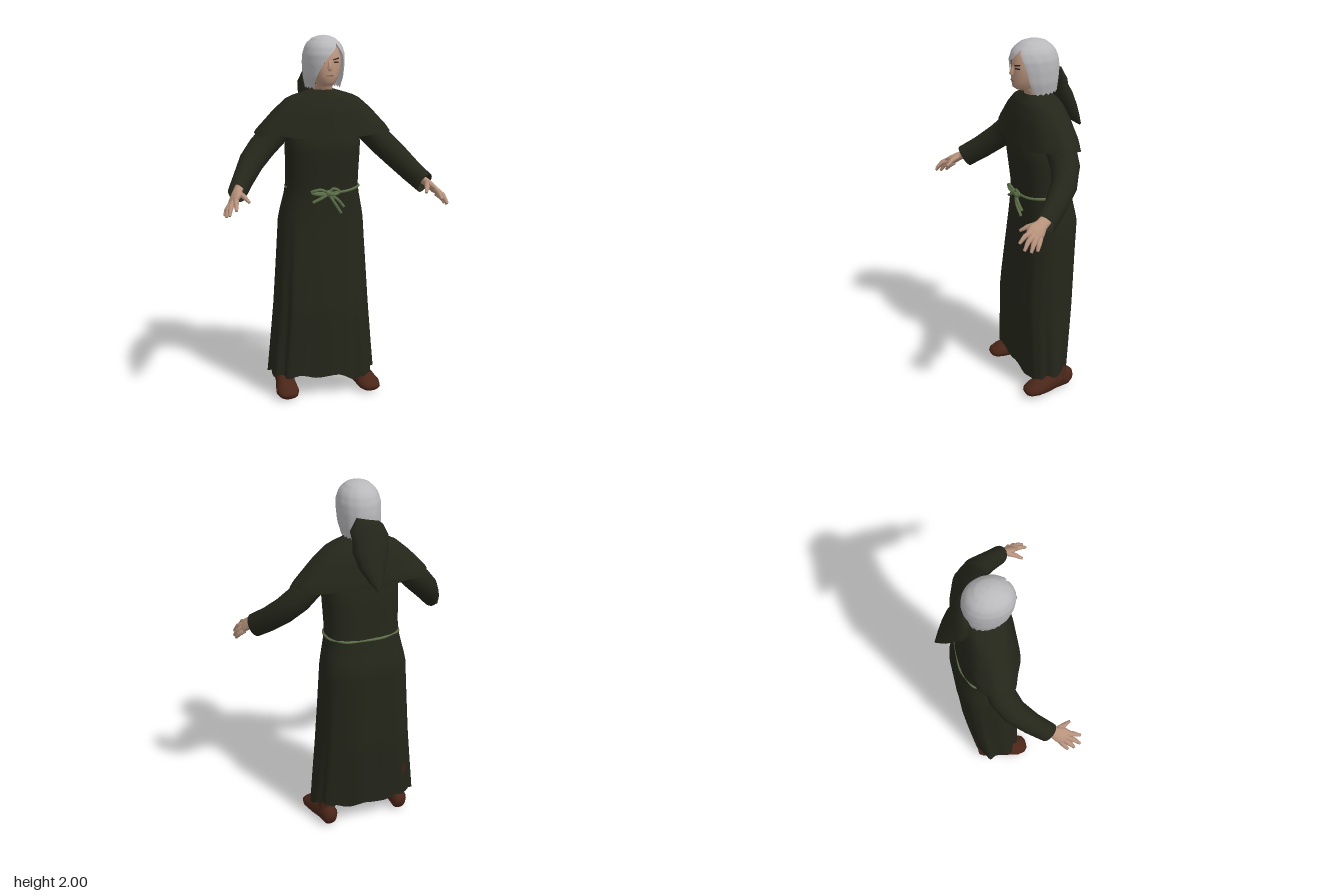
import * as THREE from 'three';

const mat = (name, color, side = THREE.FrontSide) => {
  const m = new THREE.MeshStandardMaterial({ color, side });
  m.name = name;
  return m;
};
const V = (x, y, z) => new THREE.Vector3(x, y, z);
const TAU = Math.PI * 2;

// Skin a surface over rings of points; rings run counter-clockwise about the direction of travel.
function skin(rings, { closed = true, caps = false } = {}) {
  const n = rings[0].length, pos = [], idx = [];
  rings.forEach(r => r.forEach(p => pos.push(p.x, p.y, p.z)));
  for (let j = 0; j < rings.length - 1; j++) {
    for (let i = 0; i < (closed ? n : n - 1); i++) {
      const a = j * n + i, b = j * n + (i + 1) % n;
      idx.push(a, b, b + n, a, b + n, a + n);
    }
  }
  if (caps) {
    [0, rings.length - 1].forEach((j, end) => {
      const c = rings[j].reduce((s, p) => s.add(p), V(0, 0, 0)).divideScalar(n);
      const k = pos.length / 3;
      pos.push(c.x, c.y, c.z);
      for (let i = 0; i < n; i++) {
        const a = j * n + i, b = j * n + (i + 1) % n;
        if (end) idx.push(a, b, k); else idx.push(b, a, k);
      }
    });
  }
  const g = new THREE.BufferGeometry();
  g.setAttribute('position', new THREE.Float32BufferAttribute(pos, 3));
  g.setIndex(idx);
  g.computeVertexNormals();
  return g;
}

// Linear lookup in rows whose first value is the height.
function at(rows, y) {
  let k = 0;
  while (k < rows.length - 2 && y > rows[k + 1][0]) k++;
  const t = THREE.MathUtils.clamp((y - rows[k][0]) / (rows[k + 1][0] - rows[k][0]), 0, 1);
  return rows[k].map((v, i) => v + (rows[k + 1][i] - v) * t);
}
const pw = (v, p) => Math.sign(v) * Math.abs(v) ** (2 / p);
// Point on an upright oval section; angle 0 faces +z, and row = [y, cz, rx, rz].
const oval = (row, y, a, p = 2, k = 1) =>
  V(row[2] * k * pw(Math.sin(a), p), y, row[1] + row[3] * k * pw(Math.cos(a), p));
const angles = n => Array.from({ length: n }, (_, i) => i / n * TAU);

// Tapered limb along points [x, y, z, radiusU, radiusV]; ref orients the V radius.
function limb(pts, ref, n = 12, caps = true) {
  const c = pts.map(p => V(p[0], p[1], p[2]));
  return skin(pts.map((p, i) => {
    const t = c[Math.min(i + 1, c.length - 1)].clone().sub(c[Math.max(i - 1, 0)]).normalize();
    const v = ref.clone().addScaledVector(t, -ref.dot(t)).normalize();
    const u = t.clone().cross(v);
    return angles(n).map(a => c[i].clone().addScaledVector(u, p[3] * Math.sin(a)).addScaledVector(v, p[4] * Math.cos(a)));
  }), { caps });
}
const tube = (pts, r, closed = false, seg = 20) =>
  new THREE.TubeGeometry(new THREE.CatmullRomCurve3(pts, closed), seg, r, 6, closed);

const ROBE = [
  [0.08, -0.045, 0.3, 0.136], [0.5, -0.064, 0.264, 0.165], [1.0, -0.095, 0.237, 0.155],
  [1.15, -0.08, 0.205, 0.138], [1.2, -0.075, 0.2, 0.138], [1.42, -0.055, 0.207, 0.145],
  [1.58, -0.06, 0.17, 0.1], [1.67, -0.06, 0.08, 0.07]];
const CAPE = [
  [1.45, -0.058, 0.395, 0.158], [1.5, -0.062, 0.364, 0.152], [1.6, -0.06, 0.272, 0.13],
  [1.668, -0.06, 0.195, 0.105], [1.692, -0.06, 0.12, 0.085], [1.71, -0.05, 0.06, 0.066]];
const HEAD = [
  [1.64, -0.05, 0.055, 0.06], [1.725, -0.045, 0.052, 0.06], [1.74, -0.01, 0.042, 0.075],
  [1.755, 0, 0.055, 0.083], [1.79, -0.002, 0.073, 0.09], [1.83, -0.006, 0.083, 0.092],
  [1.88, -0.012, 0.088, 0.095], [1.93, -0.03, 0.075, 0.092], [1.97, -0.035, 0.04, 0.05]];
// Hair rows add the opening's two edge angles in degrees.
const HAIR = [
  [1.72, -0.055, 0.093, 0.108, -46, 60], [1.78, -0.046, 0.108, 0.127, -36, 56],
  [1.85, -0.04, 0.113, 0.134, -18, 52], [1.9, -0.036, 0.112, 0.132, 0, 45],
  [1.94, -0.035, 0.1, 0.118, 22, 32], [1.96, -0.035, 0.087, 0.102, 28, 28],
  [1.985, -0.035, 0.06, 0.07, 28, 28], [1.996, -0.035, 0.03, 0.036, 28, 28], [2, -0.035, 0.001, 0.001, 28, 28]];

// Robe surface with folds that deepen toward the hem, and one front pleat.
// The skirt swings a little to the right: fuller at the right back, rounder at the left back.
function robePoint(a, y, k = 1) {
  const f = THREE.MathUtils.clamp((1.1 - y) / 1, 0, 1);
  const d = Math.atan2(Math.sin(a + 0.7), Math.cos(a + 0.7));
  const fold = 1 + f * (0.025 * Math.sin(9 * a + 1.5 * y) + 0.015 * Math.sin(17 * a + 2) - 0.005)
    + 0.05 * Math.min(1, f * 2) * Math.exp(-((d / 0.13) ** 2));
  const p = Math.cos(a) < 0 ? 2.6 - 0.6 * f * Math.sign(Math.sin(a)) : 2.6;
  const point = oval(at(ROBE, y), y, a, p, fold * k);
  point.x -= 0.012 * f;
  return point;
}
// The belt sinks into the cloth beside the pleat and in places round the back.
function beltPoint(a) {
  const s = Math.sin(a), c = Math.cos(a);
  const sink = c > 0 ? (s < -0.35 ? 0.955 : 1.01) : 0.99 + 0.02 * Math.sin(8 * a);
  return robePoint(a, 1.172 - 0.02 * Math.max(0, c) ** 3, sink);
}

export function createModel() {
  const cloth = mat('dark olive cloth', 0x24261a, THREE.DoubleSide);
  const hairMat = mat('silver hair', 0xb9b9bc, THREE.DoubleSide);
  const skinMat = mat('skin', 0xb8937c);
  const leather = mat('brown leather', 0x4a2618);
  const stain = mat('dark red stain', 0x40201a, THREE.DoubleSide);
  const rope = mat('green rope', 0x5d7048);
  const dark = mat('dark features', 0x3a2a22);
  const lip = mat('lips', 0x8a5f50);
  const model = new THREE.Group();
  const add = (name, geo, m, parent = model) => {
    const mesh = new THREE.Mesh(geo, m);
    mesh.name = name;
    parent.add(mesh);
    return mesh;
  };

  // Robe with an uneven hem, lowest at the front left
  const robeRings = [];
  for (let j = 0; j <= 32; j++) {
    robeRings.push(angles(80).map(a => {
      const hem = 0.118 - 0.045 * Math.max(0, Math.cos(a - 0.7)) ** 8 + 0.009 * Math.sin(11 * a);
      return robePoint(a, hem + (1.67 - hem) * j / 32);
    }));
  }
  add('robe', skin(robeRings), cloth);

  // Stained patch low on the right of the back
  const patch = [];
  for (let j = 0; j <= 4; j++) {
    patch.push(Array.from({ length: 6 }, (_, i) =>
      robePoint(-2.4 + (i - 2.5) * 0.04 * (1 - Math.abs(j - 2) * 0.3), 0.25 + j * 0.02, 1.012)));
  }
  add('robeStain', skin(patch, { closed: false }), stain);

  // Shoulder cape, gently rippled at the edge and fuller behind
  const capeRings = [];
  for (let j = 0; j <= 14; j++) {
    capeRings.push(angles(56).map(a => {
      const hem = 1.468 + 0.007 * Math.sin(7 * a + 1) - 0.006 * Math.cos(2 * a);
      const y = hem + (1.71 - hem) * j / 14;
      return oval(at(CAPE, y), y, a, Math.cos(a) < 0 ? 2.2 : 2, 1 + 0.015 * (1 - j / 14) * Math.sin(10 * a));
    }));
  }
  add('shoulderCape', skin(capeRings), cloth);

  // Hood hanging down the back
  add('hood', limb([
    [0, 1.83, -0.165, 0.065, 0.014], [0.01, 1.79, -0.172, 0.092, 0.034], [-0.01, 1.73, -0.18, 0.098, 0.05],
    [0, 1.67, -0.2, 0.098, 0.056], [0.005, 1.6, -0.24, 0.072, 0.046], [0, 1.54, -0.28, 0.042, 0.03],
    [0, 1.49, -0.318, 0.006, 0.006]], V(0, 0, 1), 14), cloth);

  // Head and face
  add('head', skin(HEAD.map(r => angles(28).map(a => oval(r, r[0], a, 2.1))), { caps: true }), skinMat);
  add('nose', limb([
    [0, 1.878, 0.075, 0.008, 0.006], [0, 1.845, 0.086, 0.01, 0.01],
    [0, 1.828, 0.092, 0.015, 0.012], [0, 1.818, 0.086, 0.009, 0.007]], V(0, 0, 1), 10), skinMat);
  for (const s of [1, -1]) {
    const eye = add('eye', new THREE.BoxGeometry(0.028, 0.008, 0.006), dark);
    eye.position.set(s * 0.038, 1.86, 0.0745);
    eye.rotation.y = s * 0.45;
    const brow = add('eyebrow', new THREE.BoxGeometry(0.038, 0.006, 0.008), dark);
    brow.position.set(s * 0.038, 1.878, 0.0745);
    brow.rotation.set(0, s * 0.45, s * 0.18);
  }
  add('mouth', new THREE.BoxGeometry(0.042, 0.007, 0.009), lip).position.set(0, 1.79, 0.084);

  // Bobbed hair swept over one eye
  const hairRings = [];
  for (let j = 0; j <= 32; j++) {
    const y = 1.72 + 0.28 * Math.sin(j / 32 * Math.PI / 2);
    const r = at(HAIR, y), a0 = r[5] * TAU / 360, a1 = (r[4] + 360) * TAU / 360;
    hairRings.push(Array.from({ length: 57 }, (_, i) => {
      const a = a0 + (a1 - a0) * i / 56;
      const drop = j === 0 ? 0.006 * Math.sin(i * 1.9) : 0;
      return oval(r, y + drop, a, 2.1, 1 + 0.006 * Math.sin(i * 1.35));
    }));
  }
  add('hair', skin(hairRings, { closed: false }), hairMat);

  // Rope belt with bow and hanging ends
  const belt = new THREE.Group();
  belt.name = 'ropeBelt';
  model.add(belt);
  add('beltLoop', tube(angles(48).map(beltPoint), 0.0075, true, 120), rope, belt);
  add('beltKnot', new THREE.SphereGeometry(0.019, 10, 8), rope, belt).position.set(0, 1.152, 0.07);
  const strands = [
    [[0, 1.155, 0.07], [-0.05, 1.175, 0.08], [-0.1, 1.16, 0.068], [-0.05, 1.148, 0.078], [0, 1.15, 0.07]],
    [[0, 1.155, 0.07], [0.025, 1.178, 0.078], [0.06, 1.16, 0.075], [0.03, 1.145, 0.08], [0, 1.15, 0.07]],
    [[0, 1.15, 0.07], [-0.045, 1.128, 0.08], [-0.09, 1.105, 0.07]],
    [[0, 1.15, 0.07], [0.03, 1.1, 0.08], [0.07, 1.04, 0.072]],
    [[0, 1.15, 0.07], [0.045, 1.12, 0.08], [0.085, 1.075, 0.072]]];
  strands.forEach((p, i) => add(i < 2 ? 'bowLoop' : 'ropeEnd', tube(p.map(q => V(...q)), 0.0085), rope, belt));

  for (const s of [1, -1]) {
    const side = s > 0 ? 'left' : 'right';
    const flip = pts => pts.map(([x, ...r]) => [s * x, ...r]);

    // Sleeve, open at the cuff
    add(side + 'Sleeve', limb(flip([
      [0.16, 1.57, -0.06, 0.07, 0.06], [0.27, 1.475, -0.062, 0.082, 0.07], [0.345, 1.4, -0.052, 0.076, 0.072],
      [0.412, 1.33, -0.01, 0.068, 0.07], [0.474, 1.255, 0.07, 0.056, 0.066],
      [0.526, 1.196, 0.15, 0.049, 0.064]]), V(0, 1, 0.3), 18, false), cloth);

    // Hand with spread fingers
    const hand = new THREE.Group();
    hand.name = side + 'Hand';
    model.add(hand);
    add('palm', limb(flip([
      [0.505, 1.225, 0.12, 0.022, 0.03], [0.533, 1.2, 0.175, 0.022, 0.033],
      [0.55, 1.18, 0.21, 0.02, 0.047], [0.567, 1.163, 0.242, 0.013, 0.041]]), V(-0.5 * s, 0.55, 0.67)), skinMat, hand);
    const fingers = [
      ['thumb', [0.525, 1.205, 0.19], [0.505, 1.19, 0.24], [0.487, 1.168, 0.275]],
      ['indexFinger', [0.548, 1.183, 0.232], [0.558, 1.167, 0.28], [0.564, 1.136, 0.314]],
      ['middleFinger', [0.562, 1.17, 0.232], [0.585, 1.147, 0.275], [0.599, 1.108, 0.303]],
      ['ringFinger', [0.57, 1.158, 0.222], [0.597, 1.13, 0.252], [0.609, 1.096, 0.27]],
      ['littleFinger', [0.572, 1.148, 0.202], [0.597, 1.123, 0.222], [0.61, 1.097, 0.235]]];
    for (const [name, a, b, c] of fingers) {
      add(name, limb(flip([[...a, 0.016, 0.016], [...b, 0.0135, 0.0135], [...c, 0.008, 0.008]]), V(1, 0.2, 0), 8), skinMat, hand);
    }

    // Boot: foot with a flattened sole, and a shaft that stands taller on the left
    const foot = limb(flip([
      [0.215, 0.06, -0.17, 0.028, 0.035], [0.215, 0.062, -0.14, 0.046, 0.06], [0.222, 0.062, -0.06, 0.05, 0.064],
      [0.232, 0.05, 0.01, 0.058, 0.056], [0.238, 0.04, 0.07, 0.064, 0.04],
      [0.24, 0.032, 0.11, 0.052, 0.028], [0.24, 0.028, 0.127, 0.03, 0.014]]), V(0, 1, 0), 16);
    const fp = foot.attributes.position;
    for (let i = 0; i < fp.count; i++) fp.setY(i, Math.max(fp.getY(i) < 0.02 ? 0 : 0.012, fp.getY(i)));
    foot.computeVertexNormals();
    add(side + 'Foot', foot, leather);
    const top = s > 0 ? [0.2, 0.25, -0.09, 0.045, 0.055] : [0.195, 0.21, -0.065, 0.042, 0.05];
    add(side + 'BootShaft', limb(flip([
      [0.22, 0.05, -0.085, 0.05, 0.068], [0.216, 0.1, -0.085, 0.046, 0.064],
      [0.208, 0.145, -0.08, 0.044, 0.057], top]), V(0, 0, 1), 14), leather);
  }
  return model;
}
